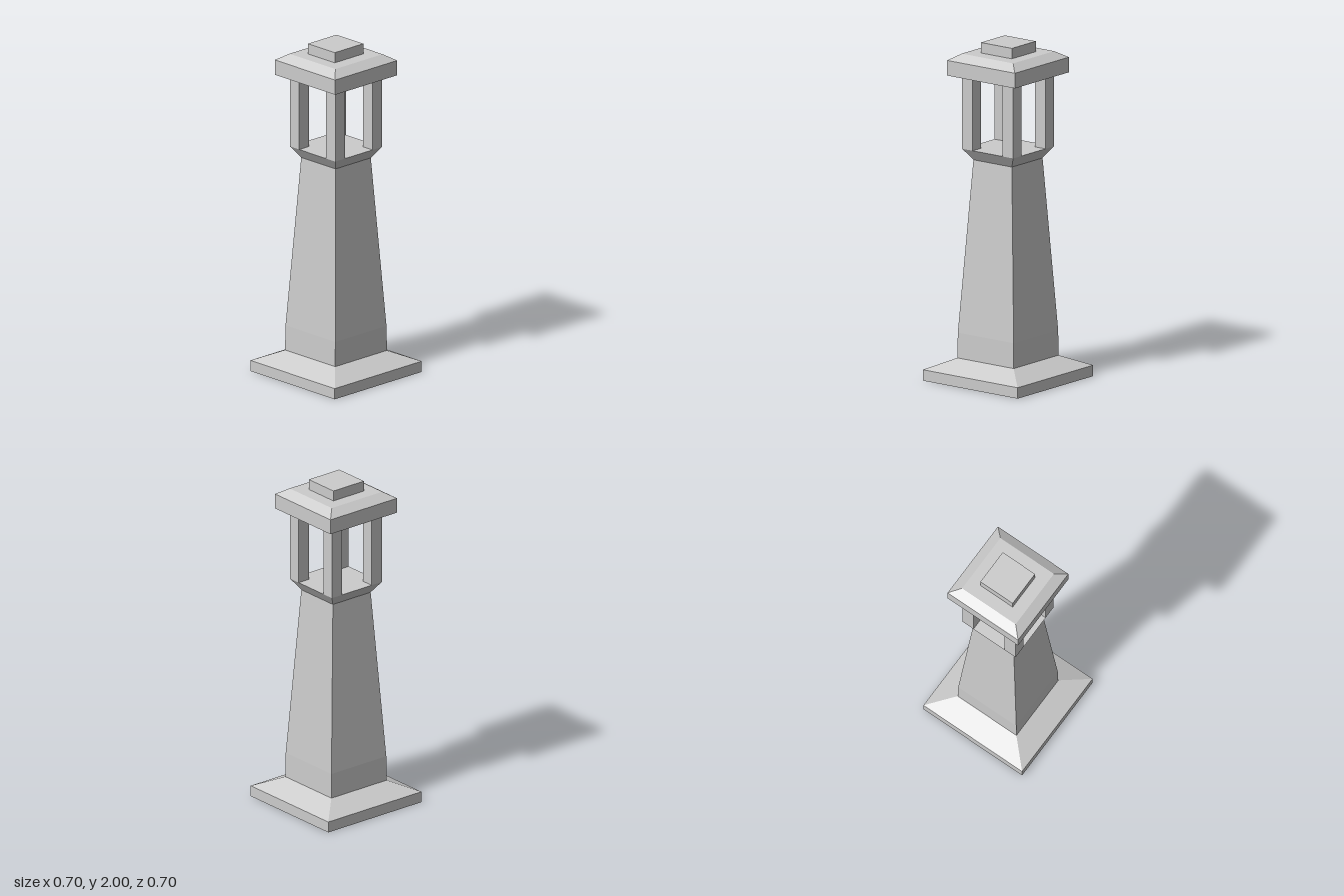
import * as THREE from 'three';

const material = new THREE.MeshStandardMaterial({ color: 0xcccccc, flatShading: true });
const shellMaterial = new THREE.MeshStandardMaterial({
  color: 0xcccccc, flatShading: true, side: THREE.DoubleSide,
});

// Square-section solid from [half width, height] pairs, listed bottom to top
function squareLoft(name, profile, mat) {
  const points = profile.map(([half, y]) => new THREE.Vector2(half * Math.SQRT2, y));
  const geometry = new THREE.LatheGeometry(points, 4, Math.PI / 4).toNonIndexed();
  geometry.computeVertexNormals();
  const mesh = new THREE.Mesh(geometry, mat);
  mesh.name = name;
  return mesh;
}

function box(name, w, h, d, x, y, z) {
  const mesh = new THREE.Mesh(new THREE.BoxGeometry(w, h, d), material);
  mesh.name = name;
  mesh.position.set(x, y, z);
  return mesh;
}

export function createModel() {
  const model = new THREE.Group();
  model.name = 'stoneLantern';

  // Hollow plinth, open underneath
  model.add(squareLoft('plinth', [[0.35, 0], [0.35, 0.065], [0.208, 0.13]], shellMaterial));

  // Tapered hollow shaft, flaring into the lantern floor
  model.add(squareLoft('shaft', [
    [0.208, 0.13], [0.206, 0.28], [0.142, 1.305], [0.188, 1.372], [0, 1.372],
  ], shellMaterial));

  // Four corner posts around the open chamber
  const posts = new THREE.Group();
  posts.name = 'posts';
  for (const sx of [-1, 1]) {
    for (const sz of [-1, 1]) {
      posts.add(box('post', 0.077, 0.438, 0.077, sx * 0.1495, 1.591, sz * 0.1495));
    }
  }
  model.add(posts);

  // Roof slab with a bevelled top edge
  model.add(squareLoft('roof', [
    [0, 1.81], [0.25, 1.81], [0.25, 1.9], [0.19, 1.938], [0, 1.938],
  ], material));

  // Square cap block
  model.add(box('cap', 0.222, 0.064, 0.229, -0.003, 1.968, 0));

  return model;
}
